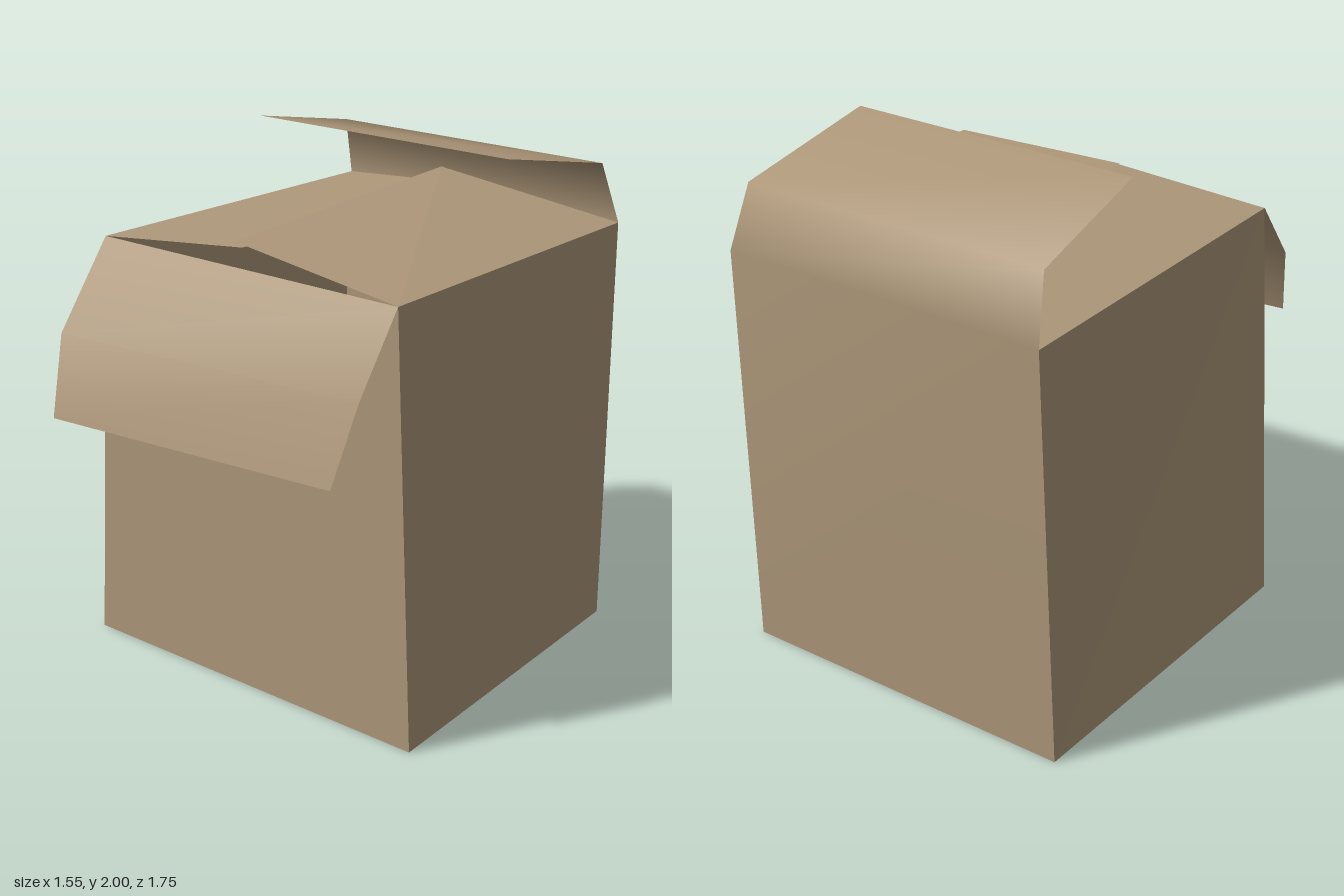
import * as THREE from 'three';

// Sheet of card through rows of [left, right] points; the bend between rows is smooth or flat.
function sheet(name, rows, material, smooth = false) {
  const index = [];
  for (let i = 0; i < rows.length - 1; i++) {
    const a = i * 2;
    index.push(a, a + 2, a + 1, a + 1, a + 2, a + 3);
  }
  let geometry = new THREE.BufferGeometry();
  geometry.setAttribute('position', new THREE.Float32BufferAttribute(rows.flat(2), 3));
  geometry.setIndex(index);
  if (!smooth) geometry = geometry.toNonIndexed();
  geometry.computeVertexNormals();
  const mesh = new THREE.Mesh(geometry, material);
  mesh.name = name;
  return mesh;
}

export function createModel() {
  const card = new THREE.MeshStandardMaterial({ color: 0xae987a, side: THREE.DoubleSide });
  card.name = 'cardboard';

  // Corners of the tapered box
  const top = 1.65;
  const bottomFL = [-0.775, 0, 0.5], bottomFR = [0.775, 0, 0.5];
  const bottomBL = [-0.67, 0, -0.87], bottomBR = [0.7, 0, -0.875];
  const topFL = [-0.67, top, 0.5], topFR = [0.7, top, 0.5];
  const topBL = [-0.605, top, -0.875], topBR = [0.7, top, -0.875];

  const box = new THREE.Group();
  box.name = 'cardboardBox';
  box.add(
    // Walls and floor
    sheet('frontWall', [[topFL, topFR], [bottomFL, bottomFR]], card),
    sheet('wallPositiveX', [[topFR, topBR], [bottomFR, bottomBR]], card),
    sheet('wallNegativeX', [[topBL, topFL], [bottomBL, bottomFL]], card),
    sheet('floor', [[bottomFL, bottomFR], [bottomBL, bottomBR]], card),

    // Back wall bending over into the raised back flap
    sheet('backWallAndFlap', [
      [bottomBL, bottomBR],
      [topBL, topBR],
      [[-0.57, 1.89, -0.795], [0.665, 1.89, -0.795]],
      [[-0.545, 2, -0.23], [0.62, 2, -0.23]],
    ], card, true),

    // Front flap hanging open, skewed outward on one side
    sheet('frontFlap', [
      [topFL, topFR],
      [[-0.63, 1.35, 0.78], [0.665, 1.35, 0.66]],
      [[-0.59, 1.055, 0.875], [0.62, 1.055, 0.755]],
    ], card, true),

    // Two overlapping side flaps, the +x one on top
    sheet('upperSideFlap', [
      [topBR, topFR],
      [[-0.09, 1.76, -0.81], [-0.09, 1.715, 0.425]],
    ], card),
    sheet('lowerSideFlap', [
      [topFL, topBL],
      [[-0.04, 1.705, 0.44], [-0.04, 1.705, -0.81]],
    ], card),
  );
  return box;
}
